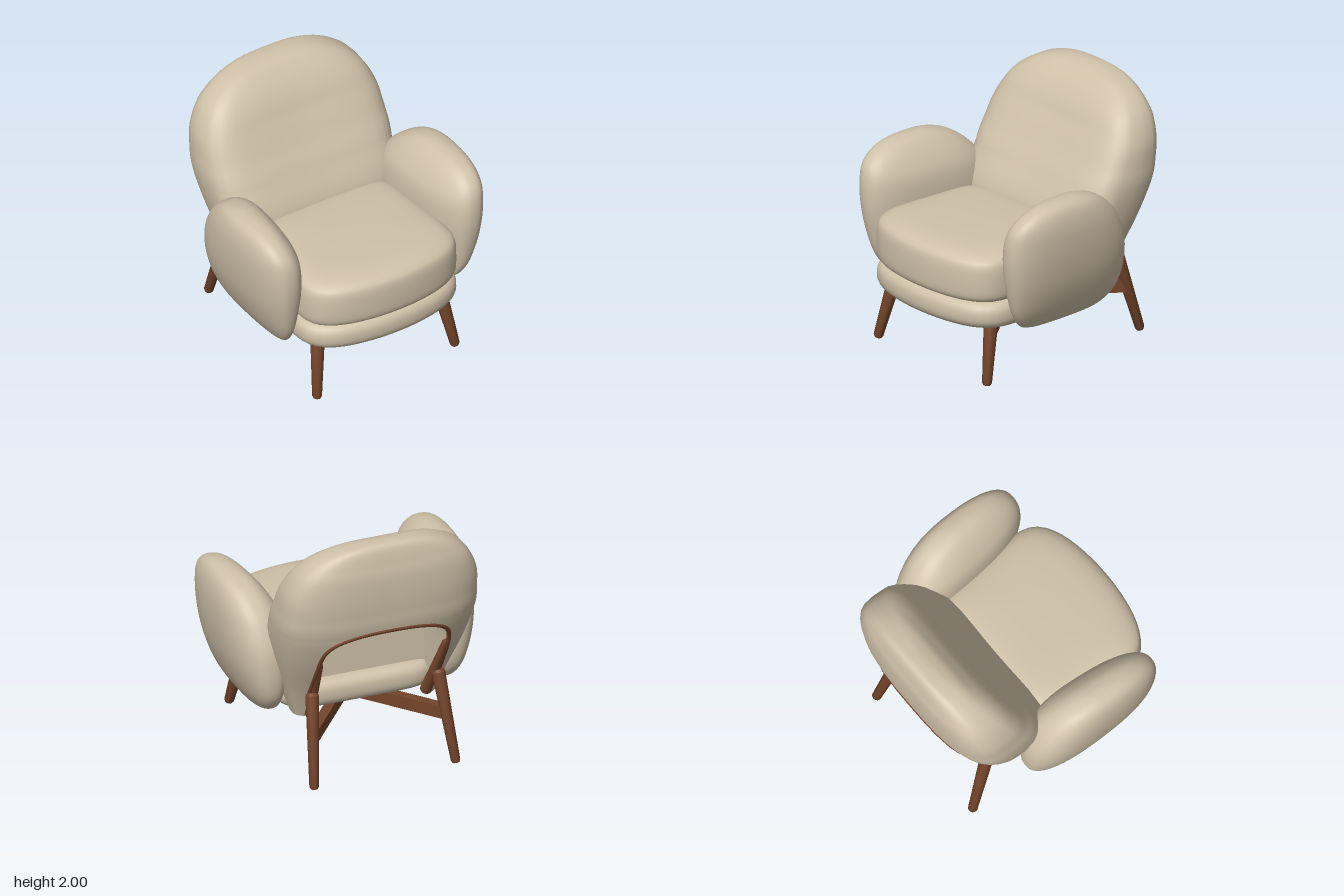
import * as THREE from 'three';
import { toCreasedNormals } from 'three/addons/utils/BufferGeometryUtils.js';

const fabric = new THREE.MeshStandardMaterial({ color: 0xcfc1a8 });
fabric.name = 'beige fabric';
const wood = new THREE.MeshStandardMaterial({ color: 0x74452b });
wood.name = 'brown wood';

const V = (x, y, z) => new THREE.Vector3(x, y, z);

function add(group, name, geometry, material) {
  const mesh = new THREE.Mesh(geometry, material);
  mesh.name = name;
  group.add(mesh);
  return mesh;
}

// Smoothly resample a short table of section parameters.
function sampler(rows) {
  const it = new THREE.CubicInterpolant(rows.map((_, i) => i), rows.flat(), rows[0].length);
  return (t) => Array.from(it.evaluate(t));
}
function resample(rows, per) {
  const at = sampler(rows), out = [];
  for (let k = 0; k <= (rows.length - 1) * per; k++) out.push(at(k / per));
  return out;
}

// Skin closed rings stacked upwards and cap both ends.
function loft(rings, crease = 0.8) {
  const n = rings[0].length, index = [], last = (rings.length - 1) * n;
  for (let j = 0; j < rings.length - 1; j++) {
    for (let i = 0; i < n; i++) {
      const a = j * n + i, b = j * n + (i + 1) % n;
      index.push(a, b, b + n, a, b + n, a + n);
    }
  }
  for (let i = 0; i < n / 2 - 1; i++) {
    const k = n - 1 - i;
    index.push(i, k, i + 1, i + 1, k, k - 1);
    index.push(last + i, last + i + 1, last + k, last + i + 1, last + k - 1, last + k);
  }
  const geo = new THREE.BufferGeometry().setFromPoints(rings.flat());
  geo.setIndex(index);
  return toCreasedNormals(geo, crease);
}

// Rounded-square outline, evenly spaced by angle.
function superRing(n, e, place) {
  return Array.from({ length: n }, (_, i) => {
    const t = (i / n) * Math.PI * 2, c = Math.cos(t), s = Math.sin(t);
    const r = (Math.abs(c) ** e + Math.abs(s) ** e) ** (-1 / e);
    return place(-c * r, s * r);
  });
}

// Seat slab with a bowed front edge; rows are [height, inset].
function seatSlab(rows, hx, hz, zc) {
  return loft(resample(rows, 3).map(([y, inset]) => superRing(88, 6, (u, v) => {
    const x = u * (hx - inset) * (0.95 + 0.05 * v);
    const bow = 0.13 * (1 - u * u) * Math.max(0, v);
    return V(x, y, zc + v * (hz - inset) + bow);
  })), 1.1);
}

// Armrest; rows are [height, inner x, outer x, back z, front z].
function armGeometry(side) {
  const rows = [
    [0.43, 0.67, 0.76, -0.1, 0.45], [0.47, 0.63, 0.81, -0.28, 0.56], [0.6, 0.6, 0.885, -0.39, 0.65],
    [0.8, 0.565, 0.955, -0.42, 0.705], [1.0, 0.55, 0.99, -0.4, 0.735], [1.18, 0.565, 1.0, -0.32, 0.73],
    [1.3, 0.62, 0.99, -0.22, 0.69], [1.385, 0.685, 0.965, -0.1, 0.59], [1.43, 0.74, 0.925, 0.03, 0.46],
    [1.45, 0.8, 0.865, 0.14, 0.32]];
  return loft(resample(rows, 4).map(([y, xi, xo, zb, zf]) => {
    const ring = superRing(56, 2.5, (u, v) => {
      const z = (zb + zf) / 2 + v * (zf - zb) / 2;
      const flare = 0.09 * (z - 0.1) * (1 - u) / 2;
      return V(side * ((xi + xo) / 2 + u * (xo - xi) / 2 + flare), y, z);
    });
    return side < 0 ? ring.reverse() : ring;
  }), 1.2);
}

// Backrest sections: [height, half width, front z, rear z].
const BACK = [
  [0.45, 0.57, -0.2, -0.5], [0.7, 0.65, -0.1, -0.635], [1.0, 0.735, -0.06, -0.805],
  [1.28, 0.78, -0.185, -0.915], [1.45, 0.776, -0.285, -0.94], [1.6, 0.755, -0.37, -0.95],
  [1.75, 0.69, -0.46, -0.948], [1.85, 0.6, -0.54, -0.93], [1.92, 0.49, -0.615, -0.915],
  [1.965, 0.37, -0.675, -0.9], [1.99, 0.23, -0.74, -0.88], [2.0, 0.08, -0.79, -0.85]];
const LEDGE = 3, STEPS = 8;
const PANEL_Z = -0.29;
const backAt = sampler(BACK);
const curveZ = (x, w, depth, e) => depth * Math.max(0, 1 - Math.abs(x / w) ** e) ** (1 / e);
// Half width of the arched opening in the rear.
const archX = (y, w) => Math.min(w * 0.85, 0.52 * Math.sqrt(1 - ((Math.min(y, 1.28) - 0.45) / 0.84) ** 12));
const rearZ = (x, [, w, zf, zb]) => (zf + zb) / 2 - curveZ(x, w, (zf - zb) / 2, 3);

function backRing(section, recessed) {
  const [y, w, zf, zb] = section;
  const a = archX(y, w), xs = [], m = 9;
  for (let k = m; k >= 0; k--) xs.push(-a - (w - a) * Math.sin((k / m) * Math.PI / 2));
  const outer = xs.length;
  for (let k = 0; k <= 8; k++) xs.push(-a + (2 * a * k) / 8);
  for (let k = 0; k <= m; k++) xs.push(a + (w - a) * Math.sin((k / m) * Math.PI / 2));
  const front = xs.map((x) => {
    const hollow = 0.04 * Math.max(0, 1 - (x / (0.8 * w)) ** 2) * Math.min(1, (2 - y) * 3);
    return V(x, y, (zf + zb) / 2 + curveZ(x, w, (zf - zb) / 2, 3.7) - hollow);
  });
  const rear = xs.map((x, i) => {
    const inside = recessed && i >= outer && i < outer + 9;
    return V(x, y, inside ? PANEL_Z : rearZ(x, section));
  });
  return [...front, ...rear.reverse()];
}

function backGeometry() {
  const rings = [];
  for (let k = 0; k <= (BACK.length - 1) * STEPS; k++) {
    const section = backAt(k / STEPS);
    if (k <= LEDGE * STEPS) rings.push(backRing(section, true));
    if (k >= LEDGE * STEPS) rings.push(backRing(section, false));
  }
  return loft(rings, 0.9);
}

// Round tapered bar between two points.
function bar(group, name, from, to, r0, r1) {
  const dir = to.clone().sub(from), len = dir.length();
  const pts = [[0, 0], [r0 * 0.7, 0], [r0, 0.02], [r1, len - 0.02], [r1 * 0.7, len], [0, len]];
  const geo = toCreasedNormals(new THREE.LatheGeometry(pts.map(([x, y]) => new THREE.Vector2(x, y)), 18), 0.6);
  const mesh = add(group, name, geo, wood);
  mesh.position.copy(from);
  mesh.quaternion.setFromUnitVectors(V(0, 1, 0), dir.normalize());
}

export function createModel() {
  const chair = new THREE.Group();
  chair.name = 'armchair';

  // Upholstery
  add(chair, 'seatBase', seatSlab([[0.44, 0.14], [0.45, 0.05], [0.49, 0.01], [0.55, 0],
    [0.61, 0.01], [0.65, 0.05], [0.66, 0.13]], 0.7, 0.6, 0.21), fabric);
  add(chair, 'seatCushion', seatSlab([[0.65, 0.12], [0.66, 0.05], [0.69, 0.012], [0.76, 0], [0.88, 0],
    [0.95, 0.008], [0.99, 0.03], [1.025, 0.09], [1.045, 0.2], [1.055, 0.42]], 0.685, 0.53, 0.29), fabric);
  add(chair, 'backrest', backGeometry(), fabric);
  for (const s of [1, -1]) add(chair, s > 0 ? 'leftArm' : 'rightArm', armGeometry(s), fabric);

  // Legs and rear posts
  const frame = new THREE.Group();
  frame.name = 'woodenFrame';
  chair.add(frame);
  for (const s of [1, -1]) {
    bar(frame, 'frontLeg', V(s * 0.61, 0.01, 0.772), V(s * 0.54, 0.46, 0.67), 0.037, 0.053);
    bar(frame, 'backLeg', V(s * 0.57, 0.01, -0.785), V(s * 0.505, 0.71, -0.59), 0.036, 0.052);
    bar(frame, 'backPost', V(s * 0.47, 0.46, -0.43), V(s * 0.505, 1.02, -0.745), 0.045, 0.026);
  }

  // Crossed rails under the seat
  for (const s of [1, -1]) {
    const dx = 1.07 * s, dz = 1.35;
    const rail = add(frame, 'crossRail', new THREE.BoxGeometry(0.075, 0.1, Math.hypot(dx, dz)), wood);
    rail.position.set(0, 0.39, 0);
    rail.rotation.y = Math.atan2(dx, dz);
  }

  // Thin arched trim around the rear opening
  const half = [];
  for (let k = STEPS; k <= LEDGE * STEPS; k++) {
    const section = backAt(k / STEPS), x = archX(section[0], section[1]);
    half.push(V(x, section[0], rearZ(x, section) + 0.008));
  }
  const path = [...half, ...half.map((p) => V(-p.x, p.y, p.z)).reverse()];
  add(frame, 'archTrim', new THREE.TubeGeometry(new THREE.CatmullRomCurve3(path), 90, 0.018, 8), wood);

  return chair;
}
